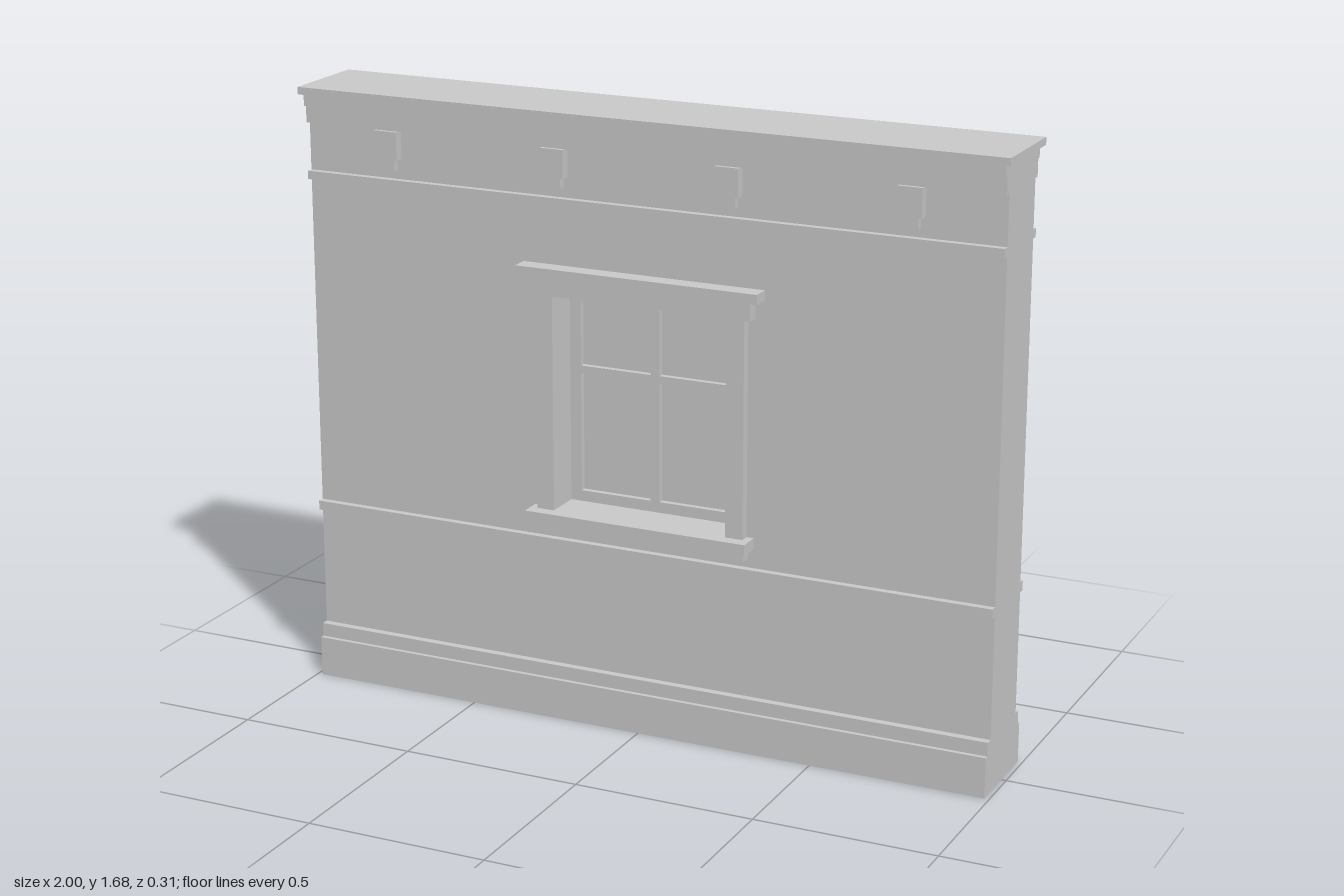
import * as THREE from 'three';

const material = new THREE.MeshStandardMaterial({ color: 0xcccccc, flatShading: true });

// Opening shared by the wall and the window
const OPEN = { x: 0.25, y0: 0.596, y1: 1.19 };
const WALL = { x: 0.987, z: 0.097, top: 1.66 };

function rectPoints(x0, y0, x1, y1) {
  return [[x0, y0], [x1, y0], [x1, y1], [x0, y1]].map(([x, y]) => new THREE.Vector2(x, y));
}

// Rectangular slab centred on z = 0 with rectangular holes
function slab(name, outer, holes, halfDepth) {
  const shape = new THREE.Shape(rectPoints(...outer));
  holes.forEach((h) => shape.holes.push(new THREE.Path(rectPoints(...h).reverse())));
  const geometry = new THREE.ExtrudeGeometry(shape, { depth: halfDepth * 2, bevelEnabled: false });
  geometry.translate(0, 0, -halfDepth);
  const mesh = new THREE.Mesh(geometry, material);
  mesh.name = name;
  return mesh;
}

// Box given by its limits
function box(name, x0, x1, y0, y1, z0, z1) {
  const mesh = new THREE.Mesh(new THREE.BoxGeometry(x1 - x0, y1 - y0, z1 - z0), material);
  mesh.position.set((x0 + x1) / 2, (y0 + y1) / 2, (z0 + z1) / 2);
  mesh.name = name;
  return mesh;
}

// Trim on one face of the wall, built towards +z
function createFaceTrim() {
  const face = new THREE.Group();
  const add = (name, halfWidth, y0, y1, z, cx = 0) =>
    face.add(box(name, cx - halfWidth, cx + halfWidth, y0, y1, WALL.z - 0.004, z));

  // Horizontal mouldings
  add('baseboard', WALL.x, 0, 0.112, 0.13);
  add('baseboardCap', WALL.x, 0.112, 0.15, 0.118);
  add('chairRail', WALL.x, 0.487, 0.513, 0.116);
  add('pictureRail', WALL.x, 1.427, 1.45, 0.116);
  add('corniceLower', WALL.x, 1.582, 1.628, 0.114);
  add('corniceUpper', WALL.x, 1.628, 1.66, 0.124);

  // Brackets below the cornice
  for (const x of [-0.74, -0.247, 0.247, 0.74]) {
    add('bracket', 0.033, 1.505, 1.582, 0.124, x);
    add('bracketFoot', 0.021, 1.475, 1.505, 0.115, x);
  }

  // Window surround
  for (const side of [-1, 1]) add('windowCasing', 0.025, OPEN.y0, OPEN.y1, 0.123, side * 0.275);
  add('windowHeader', 0.32, OPEN.y1, 1.24, 0.132);
  add('windowCrown', 0.345, 1.24, 1.267, 0.147);
  add('windowSill', 0.32, 0.565, OPEN.y0, 0.157);
  add('windowApron', 0.305, 0.537, 0.565, 0.13);
  return face;
}

export function createModel() {
  const model = new THREE.Group();
  model.name = 'wallWithWindow';

  // Wall core and top slab
  model.add(slab('wall', [-WALL.x, 0, WALL.x, WALL.top],
    [[-OPEN.x, OPEN.y0, OPEN.x, OPEN.y1]], WALL.z));
  model.add(box('corniceTop', -1, 1, WALL.top, 1.68, -0.132, 0.132));

  // Sash with four panes
  const panes = [];
  for (const [x0, x1] of [[-0.218, -0.013], [0.013, 0.218]]) {
    for (const [y0, y1] of [[0.626, 0.954], [0.976, 1.162]]) panes.push([x0, y0, x1, y1]);
  }
  model.add(slab('windowSash', [-OPEN.x, OPEN.y0, OPEN.x, OPEN.y1], panes, 0.02));
  panes.forEach(([x0, y0, x1, y1]) => model.add(box('windowPane', x0, x1, y0, y1, -0.004, 0.004)));

  // Same trim on both faces
  const front = createFaceTrim();
  front.name = 'frontTrim';
  const back = createFaceTrim();
  back.name = 'backTrim';
  back.rotation.y = Math.PI;
  model.add(front, back);
  return model;
}
